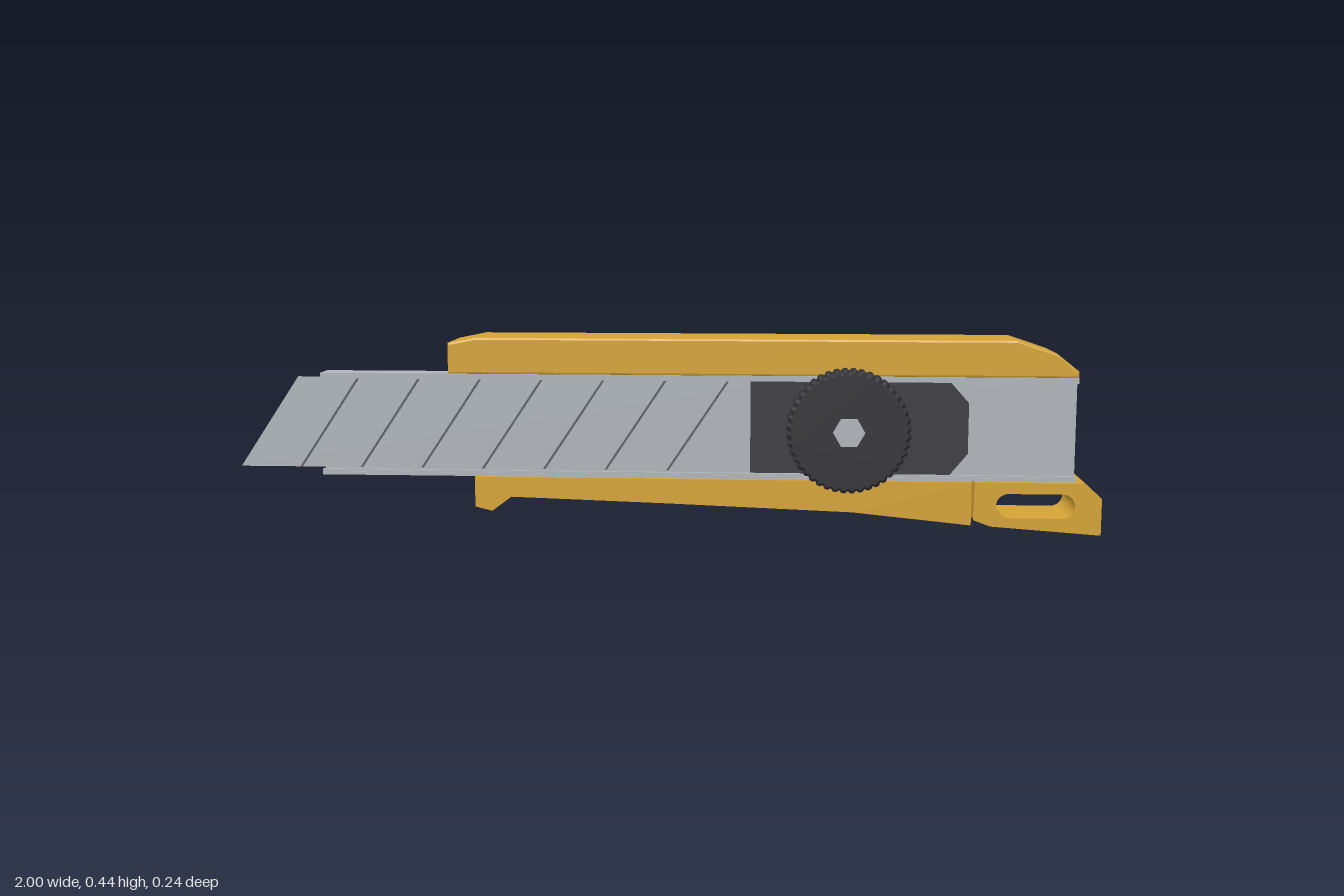
import * as THREE from 'three';

const mat = (name, color) => {
  const m = new THREE.MeshStandardMaterial({ color });
  m.name = name;
  return m;
};

export function createModel() {
  const yellow = mat('yellow plastic', 0xd6a436);
  const steel = mat('steel', 0xb0b5bb);
  const line = mat('score grey', 0x5c6066);
  const dark = mat('dark plastic', 0x3c3c41);
  const knobDark = mat('knob black', 0x333338);

  const group = new THREE.Group();
  const add = (name, geometry, material, parent = group) => {
    const mesh = new THREE.Mesh(geometry, material);
    mesh.name = name;
    parent.add(mesh);
    return mesh;
  };
  const outline = (pts) => new THREE.Shape(pts.map(([x, y]) => new THREE.Vector2(x, y)));
  // Extrudes an outline between two depths; the bevel stays inside the outline
  const slab = (shape, z0, z1, bevel = 0) => new THREE.ExtrudeGeometry(shape, {
    depth: z1 - z0 - 2 * bevel, bevelEnabled: bevel > 0, bevelSize: bevel,
    bevelThickness: bevel, bevelOffset: -bevel, bevelSegments: 2, curveSegments: 12,
  }).translate(0, 0, z0 + bevel);
  const box = (x0, x1, y0, y1, z0, z1) =>
    new THREE.BoxGeometry(x1 - x0, y1 - y0, z1 - z0)
      .translate((x0 + x1) / 2, (y0 + y1) / 2, (z0 + z1) / 2);

  const BACK = -0.12, FRONT = 0.043;

  // Handle: rounded top rail, rear wall, lower grip and slotted tail
  add('topRail', slab(outline([
    [-0.5, 0.36], [0.94, 0.36], [0.94, 0.375], [0.89, 0.415],
    [0.8, 0.445], [-0.435, 0.445], [-0.5, 0.432],
  ]), BACK, FRONT, 0.005), yellow);
  add('rearWall', box(-0.5, 0.94, 0.12, 0.362, BACK, -0.02), yellow);
  add('lowerGrip', slab(outline([
    [-0.44, 0.12], [-0.44, 0.05], [-0.4, 0.04], [-0.355, 0.074],
    [0, 0.063], [0.435, 0.047], [0.706, 0.02], [0.706, 0.12],
  ]), BACK, FRONT), yellow);

  const tail = outline([
    [0.712, 0.12], [0.712, 0.032], [0.75, 0.018], [1, 0], [1, 0.085], [0.962, 0.12],
  ]);
  const slot = new THREE.Path();
  slot.absarc(0.79, 0.066, 0.028, Math.PI / 2, Math.PI * 1.5, false);
  slot.absarc(0.912, 0.066, 0.028, -Math.PI / 2, Math.PI / 2, false);
  slot.closePath();
  tail.holes.push(slot);
  add('slottedTail', slab(tail, BACK, FRONT), yellow);

  // Metal channel: base, side walls and inward lips
  const channel = new THREE.Group();
  channel.name = 'channel';
  group.add(channel);
  add('channelBase', box(-0.8, 0.94, 0.122, 0.361, -0.02, 0.018), steel, channel);
  for (const [name, wall, lip] of [
    ['lower', [0.122, 0.13], [0.13, 0.135]],
    ['upper', [0.353, 0.361], [0.348, 0.353]],
  ]) {
    add(name + 'ChannelWall', box(-0.8, 0.94, ...wall, 0.018, FRONT), steel, channel);
    add(name + 'ChannelLip', box(-0.8, 0.94, ...lip, 0.032, FRONT - 0.002), steel, channel);
  }

  // Snap-off blade with slanted score lines
  const slant = 0.142, low = 0.137, high = 0.35;
  const strip = (x, width) => outline([
    [x, low], [x + width, low], [x + width + slant, high], [x + slant, high],
  ]);
  add('blade', slab(outline([
    [-1, low], [0.3, low], [0.3, high], [-1 + slant, high],
  ]), 0.018, 0.023), steel);
  for (let i = 1; i <= 7; i++) {
    add('scoreLine' + i, slab(strip(-1 + i * 0.144 - 0.003, 0.006), 0.0225, 0.0236), line);
  }

  // Slider plate with clipped rear corners
  add('slider', slab(outline([
    [0.2, 0.137], [0.655, 0.137], [0.695, 0.186], [0.695, 0.302], [0.655, 0.347], [0.2, 0.347],
  ]), 0.0225, 0.0435), dark);

  // Ridged locking wheel with a hexagonal hub
  const wheel = new THREE.Group();
  wheel.name = 'lockWheel';
  wheel.position.set(0.422, 0.242, 0);
  group.add(wheel);
  const TEETH = 44, ridges = [];
  for (let i = 0; i < TEETH; i++) {
    for (const [t, r] of [[0, 0.135], [0.25, 0.14], [0.65, 0.14], [0.9, 0.135]]) {
      const a = ((i + t) / TEETH) * Math.PI * 2;
      ridges.push([r * Math.cos(a), r * Math.sin(a)]);
    }
  }
  add('wheelRim', new THREE.ExtrudeGeometry(outline(ridges), {
    depth: 0.053, bevelSize: 0.006, bevelThickness: 0.008, bevelOffset: -0.006, bevelSegments: 1,
  }).translate(0, 0, 0.051), knobDark, wheel);
  const hexagon = [];
  for (let i = 0; i < 6; i++) {
    hexagon.push([0.036 * Math.cos(i * Math.PI / 3), 0.036 * Math.sin(i * Math.PI / 3)]);
  }
  add('hexHub', slab(outline(hexagon), 0.1, 0.12), steel, wheel);

  return group;
}
